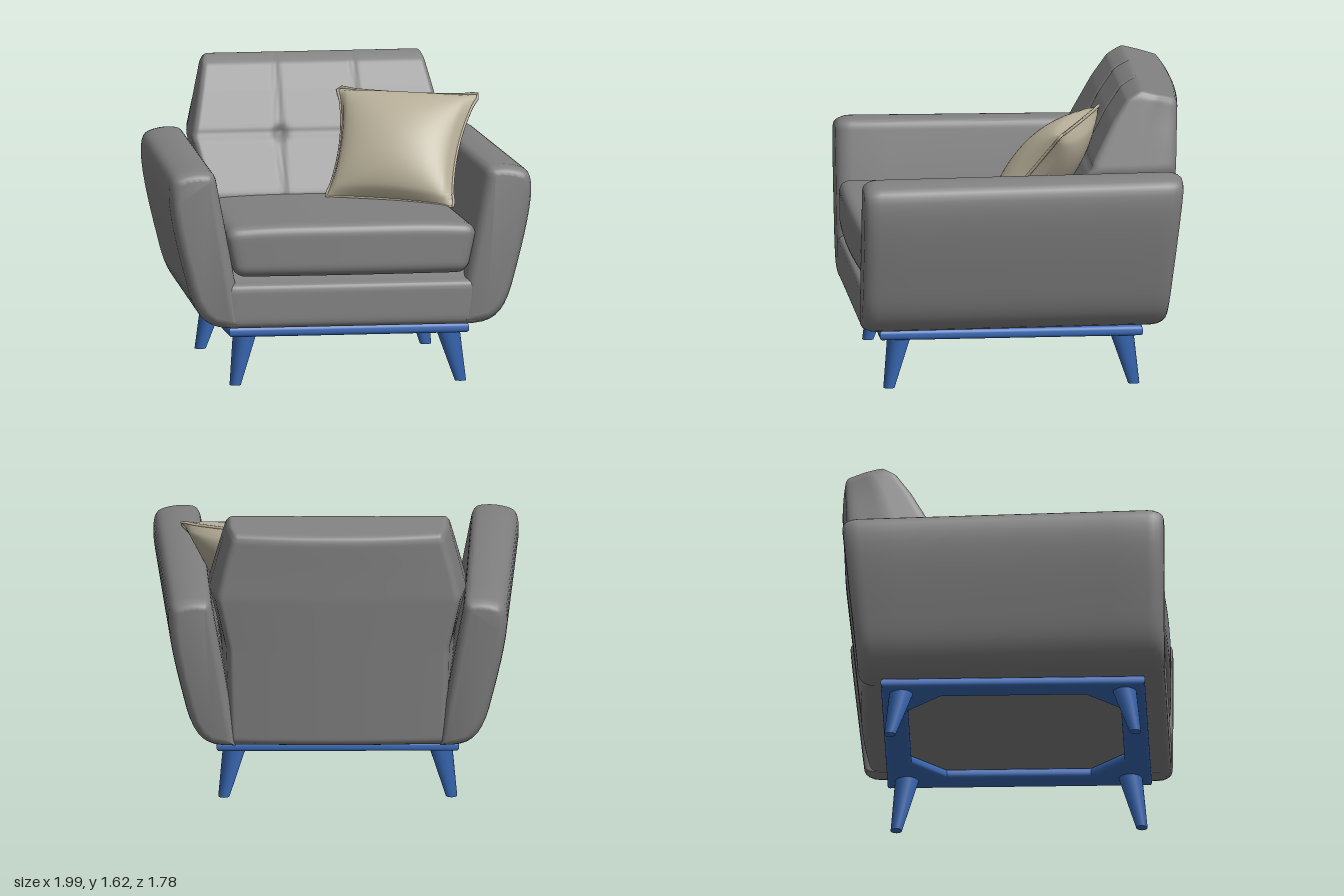
import * as THREE from 'three';
import { mergeVertices, toCreasedNormals } from 'three/addons/utils/BufferGeometryUtils.js';

const fabric = new THREE.MeshStandardMaterial({ color: 0x808080 });
const blue = new THREE.MeshStandardMaterial({ color: 0x3a6bb8 });
const beige = new THREE.MeshStandardMaterial({ color: 0xb7af99 });

const lerp = THREE.MathUtils.lerp;
const smooth = THREE.MathUtils.smoothstep;
const bell = (d, w) => Math.exp(-((d / w) ** 2));

// Linear interpolation through [key, value] stops
function stops(list, k) {
  if (k <= list[0][0]) return list[0][1];
  for (let i = 1; i < list.length; i++) {
    const [a, va] = list[i - 1], [b, vb] = list[i];
    if (k <= b) return lerp(va, vb, (k - a) / (b - a));
  }
  return list[list.length - 1][1];
}

// Applies a rule to every vertex
function warp(geo, rule) {
  const p = geo.attributes.position, v = new THREE.Vector3();
  for (let i = 0; i < p.count; i++) {
    v.fromBufferAttribute(p, i);
    rule(v);
    p.setXYZ(i, v.x, v.y, v.z);
  }
  return geo;
}

// Finely divided box with rounded edges, shaped further by a rule
function softBox(size, r, segs, rule) {
  let geo = new THREE.BoxGeometry(...size, ...segs);
  geo.deleteAttribute('uv');
  geo.deleteAttribute('normal');
  geo = mergeVertices(geo);
  const half = new THREE.Vector3(...size).multiplyScalar(0.5);
  const core = half.clone().subScalar(r), inner = new THREE.Vector3();
  warp(geo, (v) => {
    // crowd the divisions toward the edges
    for (const a of ['x', 'y', 'z']) {
      const u = v[a] / half[a];
      v[a] = half[a] * lerp(u, Math.sin(u * Math.PI / 2), 0.7);
    }
    inner.copy(v).clamp(core.clone().negate(), core);
    v.sub(inner).setLength(r).add(inner);
    rule(v);
  });
  geo.computeVertexNormals();
  return geo;
}

function add(group, name, geo, mat) {
  const mesh = new THREE.Mesh(geo, mat);
  mesh.name = name;
  group.add(mesh);
}

// Arm: bent section run from front to back, narrowing and leaning at the rear
function armGeometry(side) {
  const s = new THREE.Shape();
  s.moveTo(0.6, 0.325);
  s.lineTo(0.68, 0.327);
  s.bezierCurveTo(0.8, 0.335, 0.85, 0.4, 0.89, 0.53);
  s.bezierCurveTo(0.93, 0.68, 0.985, 0.88, 0.998, 1.02);
  s.bezierCurveTo(1.005, 1.14, 0.99, 1.17, 0.93, 1.185);
  s.quadraticCurveTo(0.86, 1.205, 0.79, 1.195);
  s.quadraticCurveTo(0.75, 1.19, 0.74, 1.14);
  s.lineTo(0.69, 0.88);
  s.lineTo(0.635, 0.58);
  const shape = new THREE.Shape(s.getPoints(7).map((p) => new THREE.Vector2(p.x * side, p.y)));
  const geo = new THREE.ExtrudeGeometry(shape, {
    depth: 0.9, steps: 8, bevelSize: 0.05, bevelOffset: -0.05, bevelThickness: 0.05, bevelSegments: 4,
  });
  warp(geo, (v) => {
    const k = (v.z + 0.05) / 1.0;
    const back = lerp(-0.79, -0.88, (v.y - 0.33) / 0.87);
    v.z = lerp(back, 0.88, k);
    v.x *= lerp(0.92, 1, k);
  });
  return toCreasedNormals(geo, 0.6);
}

// Backrest: leaning wedge with stitched seams and two tufts
function backGeometry() {
  const width = [[0.33, 0.62], [0.9, 0.635], [1.2, 0.7], [1.6, 0.605]];
  const rear = [[0.33, -0.79], [1.2, -0.88], [1.6, -0.895]];
  const front = [[0.9, -0.22], [1.2, -0.375], [1.45, -0.505], [1.57, -0.585], [1.62, -0.65]];
  return softBox([2, 1.29, 0.5], 0.05, [110, 90, 14], (v) => {
    const y = v.y + 0.975, k = v.z / 0.5 + 0.5;
    const x = v.x * stops(width, y) * lerp(0.95, 1, Math.min(1, k * 2));
    let z = lerp(stops(rear, y) + 0.03 * v.x * v.x, stops(front, y), k);
    const face = smooth(k, 0.8, 1);
    const dx = Math.abs(x) - 0.215, dy = y - 1.21;
    z -= face * (0.01 * Math.max(bell(dx, 0.014), bell(dy, 0.014))
      + 0.03 * bell(Math.hypot(dx, dy), 0.03));
    const fall = smooth(y, 1.3, 1.6) * 0.26 * Math.max(0, -0.67 - z);
    v.set(x, y - fall, z);
  });
}

// Point on the pillow's middle sheet, with edges drawn in between the corners
const corners = [[0, 0.9, -0.1], [0.65, 0.88, 0.22], [0.12, 1.44, -0.48], [0.85, 1.43, -0.2]]
  .map((c) => new THREE.Vector3(...c));
const pillowNormal = new THREE.Vector3(-0.33, 0.62, 0.7).normalize();
function pillowPoint(s, t) {
  const a = (s * (1 - 0.12 * (1 - t * t)) + 1) / 2;
  const b = (t * (1 - 0.04 * (1 - s * s)) + 1) / 2;
  const low = corners[0].clone().lerp(corners[1], a);
  return low.lerp(corners[2].clone().lerp(corners[3], a), b);
}

function pillowSide(sign) {
  const geo = new THREE.PlaneGeometry(2, 2, 28, 28);
  warp(geo, (v) => {
    const s = v.x * sign, t = v.y;
    const puff = 0.16 * Math.pow(Math.max(0, (1 - s * s) * (1 - t * t)), 0.5);
    v.copy(pillowPoint(s, t)).addScaledVector(pillowNormal, sign * puff);
  });
  geo.computeVertexNormals();
  return geo;
}

function pillowPiping() {
  const rim = [], n = 8;
  for (const [s0, t0, ds, dt] of [[-1, -1, 1, 0], [1, -1, 0, 1], [1, 1, -1, 0], [-1, 1, 0, -1]])
    for (let i = 0; i < n; i++) rim.push(pillowPoint(s0 + ds * 2 * i / n, t0 + dt * 2 * i / n));
  return new THREE.TubeGeometry(new THREE.CatmullRomCurve3(rim, true), 96, 0.008, 6, true);
}

// Plinth: flat frame with an eight-sided opening
function plinthGeometry() {
  const b = 0.02, w = 0.66 - b, d = 0.72 - b;
  const shape = new THREE.Shape([[-w, -d], [w, -d], [w, d], [-w, d]].map((p) => new THREE.Vector2(...p)));
  const x = 0.54, z = 0.6, c = 0.2;
  shape.holes.push(new THREE.Path([[-x + c, -z], [-x, -z + c], [-x, z - c], [-x + c, z],
    [x - c, z], [x, z - c], [x, -z + c], [x - c, -z]].map((p) => new THREE.Vector2(...p))));
  const geo = new THREE.ExtrudeGeometry(shape, {
    depth: 0.055 - 2 * b, bevelSize: b, bevelThickness: b, bevelSegments: 4,
  });
  geo.rotateX(-Math.PI / 2).translate(0, 0.268 + b, 0.05);
  return toCreasedNormals(geo, 0.6);
}

// Leg: tapered and splayed, level at both ends
function legGeometry(sx, zTop, zFoot) {
  const geo = new THREE.CylinderGeometry(0.066, 0.031, 0.28, 20).translate(0, 0.14, 0);
  return warp(geo, (v) => {
    const k = v.y / 0.28;
    v.x += sx * lerp(0.62, 0.558, k);
    v.z += lerp(zFoot, zTop, k);
  });
}

export function createModel() {
  const chair = new THREE.Group();
  chair.name = 'armchair';

  add(chair, 'leftArm', armGeometry(1), fabric);
  add(chair, 'rightArm', armGeometry(-1), fabric);
  add(chair, 'backrest', backGeometry(), fabric);

  // Seat base: front rail running into the arms, deck rising under the cushion
  add(chair, 'seatBase', softBox([1.42, 0.25, 1.64], 0.045, [24, 14, 24], (v) => {
    const up = v.y / 0.25 + 0.5;
    v.x *= lerp(0.9, 1, v.z / 1.64 + 0.5);
    v.y += 0.453 + 0.06 * up * smooth(-v.z, -0.76, -0.6);
    v.z += 0.056;
  }), fabric);

  // Seat cushion: crowned top, narrower underside, tapering rearward
  add(chair, 'seatCushion', softBox([1.38, 0.27, 1.5], 0.06, [30, 20, 30], (v) => {
    const up = v.y / 0.27 + 0.5, e = Math.abs(v.x) / 0.69;
    v.x *= lerp(0.91, 1, v.z / 1.5 + 0.5) * lerp(0.93, 1, Math.min(1, up * 1.25));
    v.y += 0.745 + 0.02 * up * (1 - e ** 4);
    v.z += 0.14 - 0.02 * e * e;
  }), fabric);

  const pillow = new THREE.Group();
  pillow.name = 'pillow';
  add(pillow, 'pillowFront', pillowSide(1), beige);
  add(pillow, 'pillowBack', pillowSide(-1), beige);
  add(pillow, 'pillowPiping', pillowPiping(), beige);
  chair.add(pillow);

  add(chair, 'plinth', plinthGeometry(), blue);
  for (const sx of [1, -1]) {
    const side = sx > 0 ? 'Left' : 'Right';
    add(chair, 'front' + side + 'Leg', legGeometry(sx, 0.655, 0.717), blue);
    add(chair, 'rear' + side + 'Leg', legGeometry(sx, -0.56, -0.622), blue);
  }
  return chair;
}
